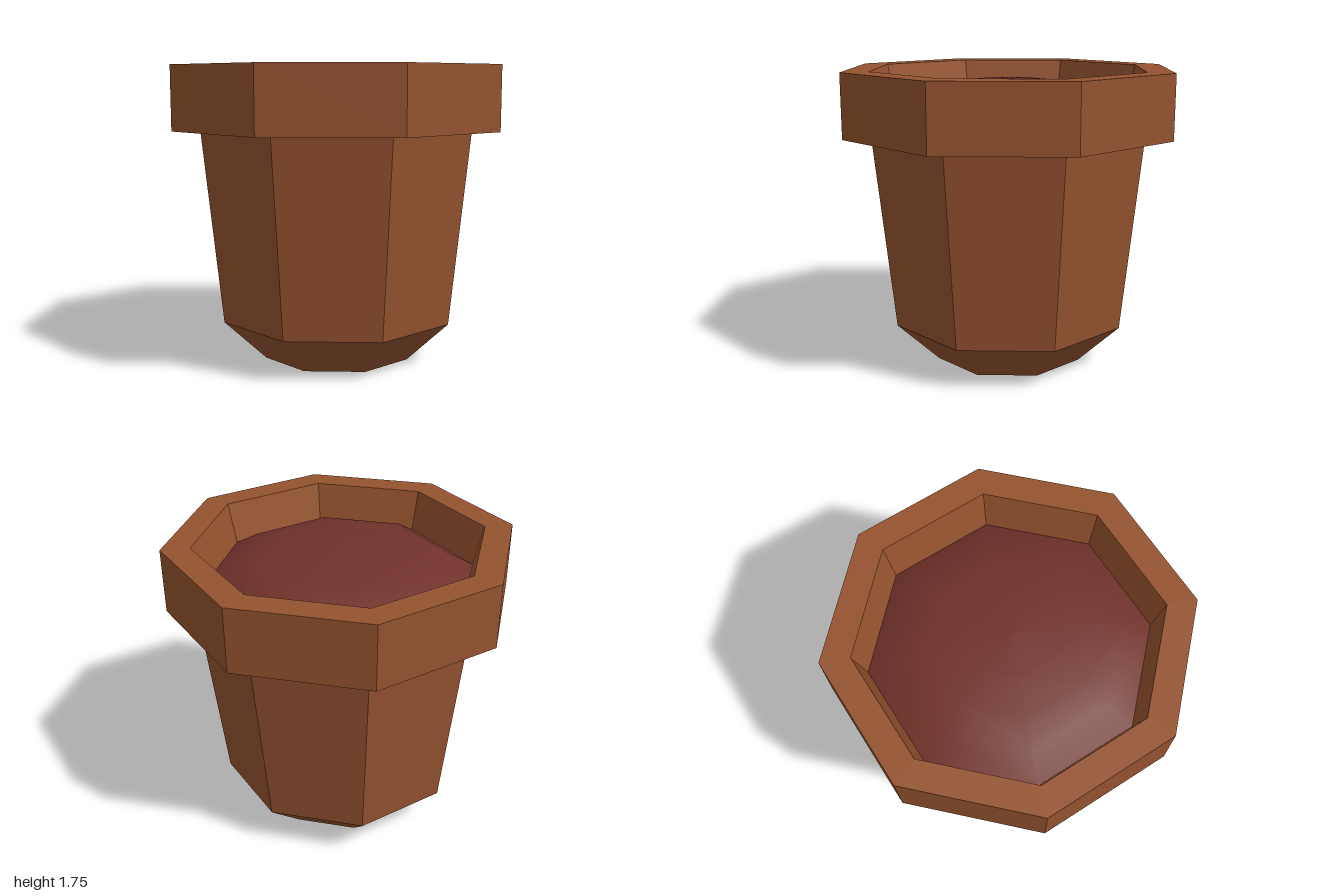
import * as THREE from 'three';

const SIDES = 8;

// Eight-sided turned shape from [radius, height] pairs
function turned(profile, faceted) {
  const points = profile.map(([r, y]) => new THREE.Vector2(r, y));
  const lathe = new THREE.LatheGeometry(points, SIDES);
  if (!faceted) return lathe;
  const flat = lathe.toNonIndexed();
  flat.computeVertexNormals();
  return flat;
}

export function createModel() {
  const clay = new THREE.MeshStandardMaterial({ color: 0x95532f });
  clay.name = 'terracotta';
  const earth = new THREE.MeshStandardMaterial({ color: 0x70322a });
  earth.name = 'soil brown';

  const model = new THREE.Group();
  model.name = 'flowerPot';
  const add = (name, geometry, material) => {
    const mesh = new THREE.Mesh(geometry, material);
    mesh.name = name;
    model.add(mesh);
  };

  // Tapered body with a chamfered foot and closed base
  add('body', turned([[0, 0], [0.46, 0], [0.715, 0.245], [0.835, 1.38]], true), clay);

  // Overhanging rim: underside, outer band, top ring and inner wall
  add('rim', turned([[0.835, 1.38], [1, 1.38], [1, 1.755], [0.835, 1.755], [0.775, 1.5]], true), clay);

  // Gently mounded soil, smooth shaded
  add('soil', turned([[0.78, 1.52], [0.62, 1.615], [0.46, 1.655], [0.24, 1.685], [0, 1.695]], false), earth);

  return model;
}
